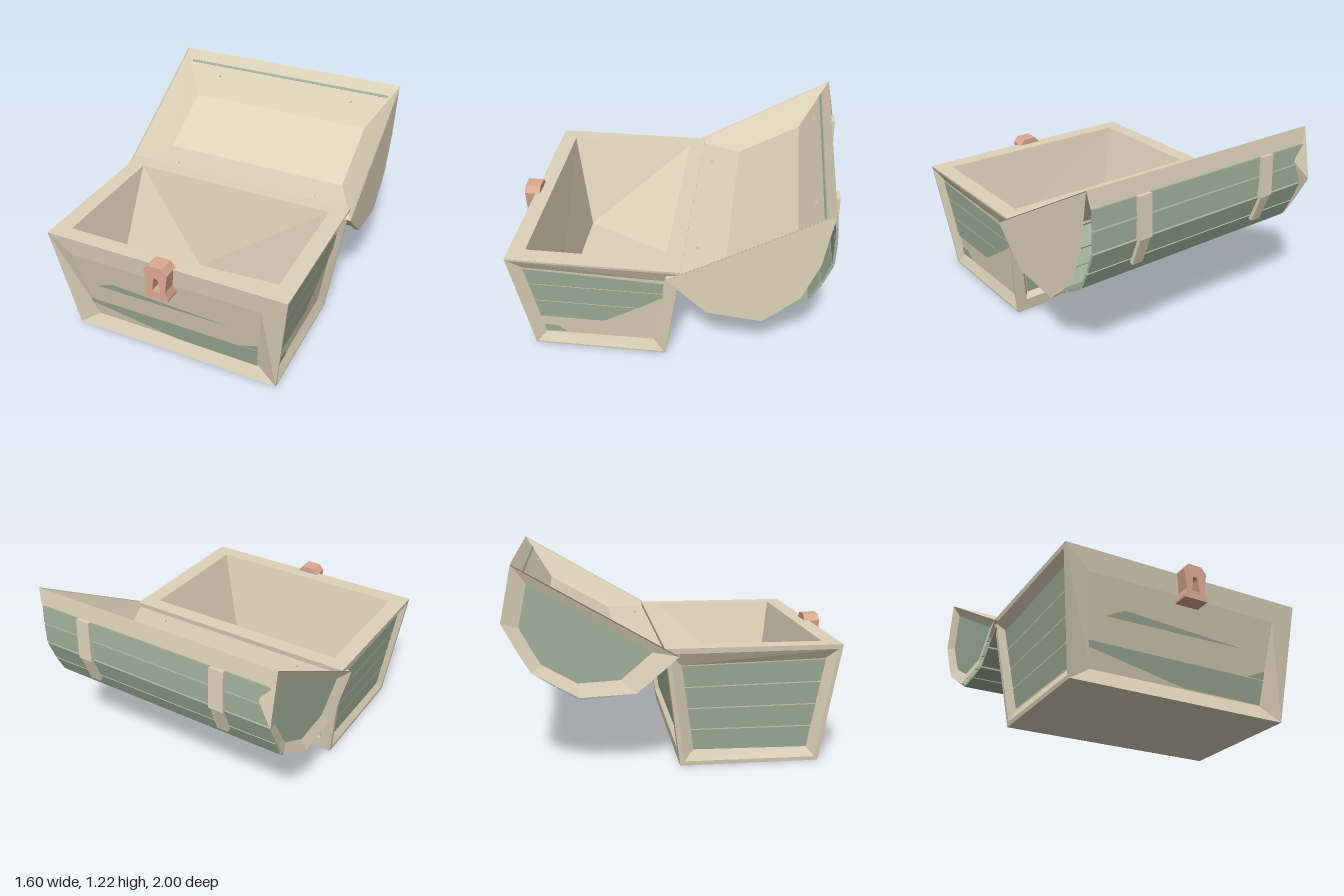
import * as THREE from 'three';

const mat = (color) => new THREE.MeshStandardMaterial({ color, flatShading: true, side: THREE.DoubleSide });
const beige = mat(0xddd2b9), green = mat(0xa0b09a), copper = mat(0xdca892);

// Flat facets, each a list of [x, y, z] corners, joined into one mesh
function facets(name, polys, material) {
  const pos = [];
  for (const p of polys)
    for (let i = 1; i < p.length - 1; i++) pos.push(...p[0], ...p[i], ...p[i + 1]);
  const geo = new THREE.BufferGeometry();
  geo.setAttribute('position', new THREE.Float32BufferAttribute(pos, 3));
  geo.computeVertexNormals();
  const mesh = new THREE.Mesh(geo, material);
  mesh.name = name;
  return mesh;
}

// Quads joining two matching closed loops
const band = (a, b) => a.map((p, i) => {
  const j = (i + 1) % a.length;
  return [p, a[j], b[j], b[i]];
});
const lerp = (p, q, t) => p.map((v, i) => v + (q[i] - v) * t);

// Board of the given width across x, running between two [z, y] points
function board(name, p, q, x, width, thick, gap, material) {
  const dz = q[0] - p[0], dy = q[1] - p[1];
  const mesh = new THREE.Mesh(new THREE.BoxGeometry(width, thick, Math.hypot(dz, dy) - gap), material);
  mesh.position.set(x, (p[1] + q[1]) / 2, (p[0] + q[0]) / 2);
  mesh.rotation.x = -Math.atan2(dy, dz);
  mesh.name = name;
  return mesh;
}

// Framed side wall: a frame that is flat for a share of its width and then
// slopes in to a sunken panel, with planks lying on the panel
function wall(name, place, outer, inner, planks, flat, depth) {
  const g = new THREE.Group();
  g.name = name;
  const flush = ([a, y]) => place(a, y, 0);
  const out = outer.map(flush);
  const mid = outer.map((p, i) => flush(lerp(p, inner[i], flat)));
  const sunk = inner.map(([a, y]) => place(a, y, depth(y)));
  g.add(facets('frame', [...band(out, mid), ...band(mid, sunk)], beige));
  g.add(facets('panel', [sunk], beige));
  g.add(facets('planks', planks.map((k) => k.map(([a, y]) => place(a, y, depth(y) - 0.008))), green));
  return g;
}

// Full rows of planks across a four-cornered panel
function rows(inner, n) {
  const [a, b, c, d] = inner, out = [];
  for (let i = 0; i < n; i++) {
    const s = (i + 0.02) / n, t = (i + 0.97) / n;
    out.push([lerp(a, d, s), lerp(b, c, s), lerp(b, c, t), lerp(a, d, t)]);
  }
  return out;
}

function createBody() {
  const g = new THREE.Group();
  g.name = 'chestBody';
  const longOuter = [[-0.68, 0], [0.68, 0], [0.77, 0.73], [-0.77, 0.73]];
  const frontInner = [[-0.55, 0.09], [0.55, 0.09], [0.61, 0.6], [-0.62, 0.6]];
  const backInner = [[-0.58, 0.12], [0.6, 0.12], [0.68, 0.66], [-0.66, 0.66]];
  const endOuter = [[0, 0], [0.83, 0], [0.93, 0.73], [-0.1, 0.73]];
  const endInner = [[0.08, 0.09], [0.76, 0.08], [0.84, 0.64], [0, 0.62]];
  const even = () => 0.035;

  // The front panel leans out until it meets the frame at the top
  g.add(wall('frontWall', (a, y, d) => [a, y, 0.83 + 0.137 * y - d], longOuter, frontInner, [
    [[-0.57, 0.2], [0.02, 0.095], [0.55, 0.09], [0.565, 0.235], [-0.58, 0.235]],
    [[-0.5, 0.38], [0.4, 0.39], [-0.38, 0.435]],
    [[0.45, 0.24], [0.565, 0.24], [0.57, 0.29]],
  ], 0, (y) => 0.045 * (0.6 - y) / 0.51));
  g.add(wall('backWall', (a, y, d) => [a, y, -0.137 * y + d], longOuter, backInner, rows(backInner, 4), 0.7, even));
  g.add(wall('leftWall', (a, y, d) => [0.68 + 0.123 * y - d, y, a], endOuter, endInner, [
    [[0.38, 0.23], [0.78, 0.23], [0.8, 0.368], [0.17, 0.368]],
    [[0.16, 0.374], [0.8, 0.374], [0.82, 0.509], [0.01, 0.509], [0.01, 0.48]],
    [[0.01, 0.515], [0.82, 0.515], [0.84, 0.635], [0.0, 0.6]],
    [[0.63, 0.1], [0.76, 0.09], [0.765, 0.15], [0.68, 0.15]],
  ], 0.15, even));
  g.add(wall('rightWall', (a, y, d) => [-0.68 - 0.123 * y + d, y, a], endOuter, endInner, rows(endInner, 4), 0.3, even));

  // Top rim and underside
  const loop = (x, y, z0, z1) => [[-x, y, z0], [x, y, z0], [x, y, z1], [-x, y, z1]];
  const rimIn = loop(0.665, 0.73, 0, 0.83);
  g.add(facets('rim', band(loop(0.77, 0.73, -0.1, 0.93), rimIn), beige));
  g.add(facets('underside', [loop(0.68, 0, 0, 0.83)], beige));

  // Hollow inside: sloped walls, a level floor and a slanted facet in one back corner
  const [bl, br, fr, fl] = rimIn;
  const slant = [-0.43, 0.41, 0.05], backLow = [-0.2, 0.1, 0.09], backRight = [0.42, 0.1, 0.05];
  const frontRight = [0.49, 0.1, 0.72], frontLeft = [-0.5, 0.1, 0.71];
  g.add(facets('cavity', [
    [bl, br, backLow], [br, backRight, backLow],
    [bl, slant, frontLeft, fl], [slant, backLow, frontLeft],
    [br, fr, frontRight, backRight], [fl, frontLeft, frontRight, fr],
    [backLow, backRight, frontRight, frontLeft],
  ], beige));
  return g;
}

function createLid() {
  const g = new THREE.Group();
  g.name = 'lid';
  const at = (x) => ([z, y]) => [x, y, z];

  // Tapered hollow of the lid
  const tray = [[-0.02, 0.69], [-0.93, 1.22]], deep = [[-0.35, 0.72], [-0.75, 0.95]];
  const ring = (pts, x) => [at(-x)(pts[0]), at(x)(pts[0]), at(x)(pts[1]), at(-x)(pts[1])];
  const inner = ring(deep, 0.63);
  g.add(facets('lidLining', [...band(ring(tray, 0.8), inner), inner], beige));

  // Plain left end
  const leftEnd = [[-0.02, 0.69], [-0.26, 0.47], [-0.58, 0.44], [-0.66, 0.51], [-0.79, 0.64], [-0.88, 0.88], [-0.93, 1.22]];
  g.add(facets('leftEndPlate', [leftEnd.map(at(0.795))], beige));
  g.add(facets('leftEndEdge', leftEnd.slice(1, 4).map((q, i) =>
    [at(0.795)(leftEnd[i]), at(0.795)(q), at(0.765)(q), at(0.765)(leftEnd[i])]), beige));

  // Right end: bevelled frame round a sunken plank panel
  const rightEnd = [[-0.02, 0.69], [-0.26, 0.485], [-0.58, 0.47], [-0.84, 0.62], [-0.9, 0.72], [-0.995, 0.9], [-0.93, 1.22]];
  const panel = rightEnd.map((p) => at(-0.768)(lerp(p, [-0.62, 0.78], 0.25)));
  g.add(facets('rightEndFrame', band(rightEnd.map(at(-0.795)), panel), beige));
  g.add(facets('rightEndPanel', [panel], green));
  g.add(facets('rightEndCorner', [
    [[-0.795, 0.9, -0.995], [-0.795, 1.22, -0.93], [-0.7, 1.02, -0.955]],
    [[-0.795, 0.9, -0.995], [-0.795, 0.72, -0.9], [-0.7, 1.02, -0.955]],
  ], beige));

  // Lengthwise planks round the outside
  const hull = [[-0.06, 0.67], [-0.17, 0.575], [-0.28, 0.485], [-0.43, 0.47], [-0.58, 0.46],
    [-0.705, 0.535], [-0.838, 0.62], [-0.895, 0.735], [-0.945, 0.87], [-0.947, 1.0], [-0.94, 1.12]];
  for (let i = 1; i < hull.length; i++)
    g.add(board('lidPlank', hull[i - 1], hull[i], 0, 1.54, 0.015, 0.01, green));
  g.add(facets('rimStrip', [[[-0.795, 1.22, -0.93], [0.795, 1.22, -0.93], [0.78, 1.12, -0.945], [-0.78, 1.12, -0.945]]], beige));
  g.add(board('innerSlit', [-0.877, 1.143], [-0.885, 1.156], 0, 1.47, 0.012, 0, green));

  // Cross straps and their rivets
  for (const x of [-0.45, 0.45]) {
    g.add(board('strap', [-0.955, 1.12], [-0.965, 0.87], x, 0.09, 0.025, 0, beige));
    g.add(board('strap', [-0.965, 0.88], [-0.9, 0.7], x, 0.07, 0.025, 0, beige));
    g.add(board('strap', [-0.1, 0.625], [-0.24, 0.5], x, 0.08, 0.02, 0, beige));
    for (const [z, y] of [[-0.84, 1.09], [-0.17, 0.705]])
      g.add(board('rivet', [z - 0.008, y + 0.008], [z + 0.008, y - 0.008], x * 1.1, 0.012, 0.012, 0, beige));
  }
  return g;
}

// Waisted lock plate with a keyhole
function createClasp() {
  const v = (pts) => pts.map(([x, y]) => new THREE.Vector2(x, y));
  const shape = new THREE.Shape(v([[-0.07, 0.55], [0.08, 0.55], [0.08, 0.565], [0.064, 0.61],
    [0.08, 0.73], [0.05, 0.768], [-0.04, 0.768], [-0.07, 0.73], [-0.053, 0.61], [-0.07, 0.565]]));
  shape.holes.push(new THREE.Path(v([[-0.02, 0.6], [-0.008, 0.695], [0.02, 0.685], [0.032, 0.6]])));
  const mesh = new THREE.Mesh(new THREE.ExtrudeGeometry(shape, { depth: 0.1, bevelEnabled: false }), copper);
  mesh.position.z = 0.9;
  mesh.name = 'clasp';
  return mesh;
}

export function createModel() {
  const model = new THREE.Group();
  model.name = 'openChest';
  model.add(createBody(), createLid(), createClasp());
  return model;
}
